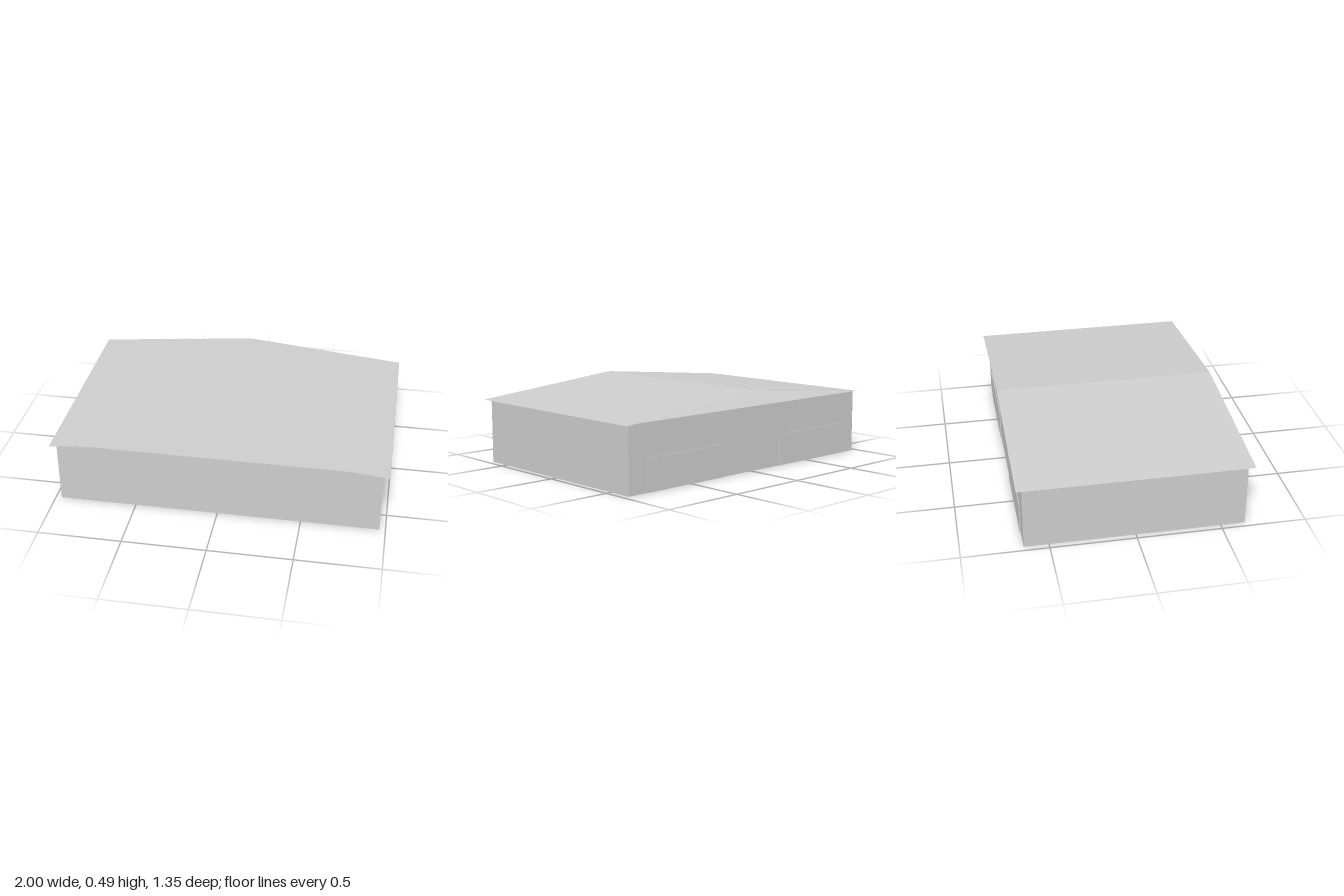
import * as THREE from 'three';

export function createModel() {
  const model = new THREE.Group();
  model.name = 'building';

  const grey = new THREE.MeshStandardMaterial({ color: 0xcccccc, side: THREE.DoubleSide });
  grey.name = 'plain grey';

  const wallX = 0.965, wallZ = 0.644, wallH = 0.39;
  const roofX = 1, roofZ = 0.677, ridgeY = 0.487;

  const addBox = (name, w, h, d, x, y, z) => {
    const mesh = new THREE.Mesh(new THREE.BoxGeometry(w, h, d), grey);
    mesh.name = name;
    mesh.position.set(x, y, z);
    model.add(mesh);
  };

  // Closed block of walls
  addBox('walls', wallX * 2, wallH, wallZ * 2, 0, wallH / 2, 0);

  // Two thin doors on the back wall
  for (const side of [1, -1]) {
    addBox(side > 0 ? 'leftDoor' : 'rightDoor', 0.58, 0.195, 0.005, side * 0.54, 0.0975, -wallZ - 0.0025);
  }

  // Low-pitched roof of two open sheets meeting at the ridge, gables left open
  const eaveY = wallH + 0.001;
  const slope = Math.atan2(ridgeY - eaveY, roofX);
  for (const side of [1, -1]) {
    const sheet = new THREE.PlaneGeometry(Math.hypot(roofX, ridgeY - eaveY), roofZ * 2);
    sheet.rotateX(-Math.PI / 2);
    sheet.rotateZ(-side * slope);
    sheet.translate(side * roofX / 2, (ridgeY + eaveY) / 2, 0);
    const roof = new THREE.Mesh(sheet, grey);
    roof.name = side > 0 ? 'leftRoof' : 'rightRoof';
    model.add(roof);
  }

  return model;
}
